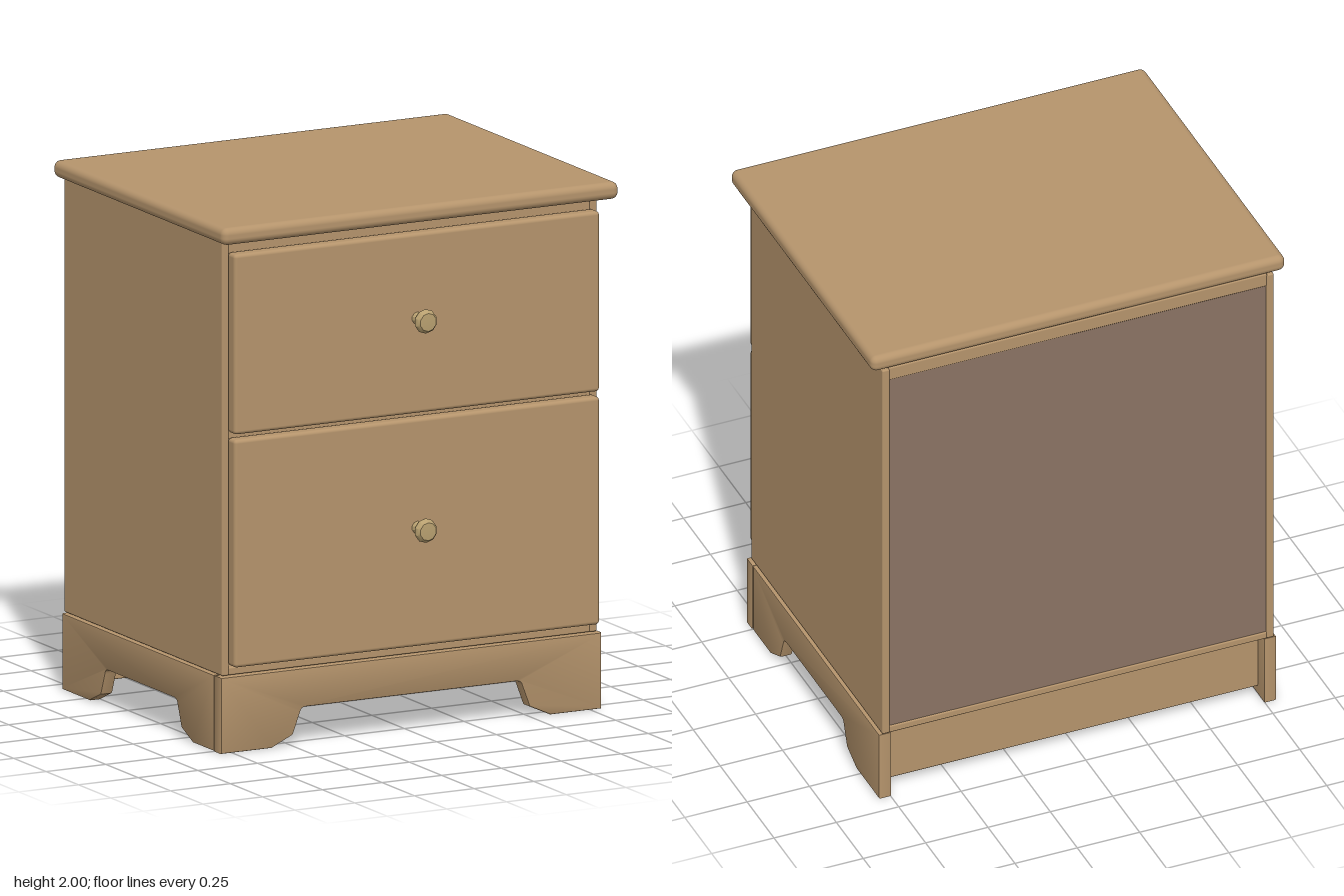
import * as THREE from 'three';
import { RoundedBoxGeometry } from 'three/addons/geometries/RoundedBoxGeometry.js';
import { toCreasedNormals } from 'three/addons/utils/BufferGeometryUtils.js';

const wood = new THREE.MeshStandardMaterial({ color: 0xb5946c });
const backing = new THREE.MeshStandardMaterial({ color: 0x8a7363 });
const knobWood = new THREE.MeshStandardMaterial({ color: 0xb8a070 });

// Board with softened edges, given by its min and max corners
function board(name, [x0, y0, z0], [x1, y1, z1], radius = 0.006, material = wood) {
  const geo = new RoundedBoxGeometry(x1 - x0, y1 - y0, z1 - z0, 3, radius);
  const mesh = new THREE.Mesh(geo, material);
  mesh.position.set((x0 + x1) / 2, (y0 + y1) / 2, (z0 + z1) / 2);
  mesh.name = name;
  return mesh;
}

// Plinth board from a to b with a bracket-foot cut-out between c and d
function plinthGeometry(a, b, c, d, thickness) {
  const bevel = 0.006, top = 0.287;
  const s = new THREE.Shape();
  s.moveTo(a + bevel, bevel);
  s.lineTo(c - 0.13, bevel);
  s.lineTo(c - 0.045, 0.045);
  s.lineTo(c - 0.015, 0.125);
  s.quadraticCurveTo(c - 0.01, 0.147, c + 0.015, 0.147);
  s.lineTo(d - 0.015, 0.147);
  s.quadraticCurveTo(d + 0.01, 0.147, d + 0.015, 0.125);
  s.lineTo(d + 0.045, 0.045);
  s.lineTo(d + 0.13, bevel);
  s.lineTo(b - bevel, bevel);
  s.lineTo(b - bevel, top - bevel);
  s.lineTo(a + bevel, top - bevel);
  s.closePath();
  const geo = new THREE.ExtrudeGeometry(s, {
    depth: thickness - 2 * bevel, bevelThickness: bevel, bevelSize: bevel,
    bevelSegments: 2, curveSegments: 5,
  });
  geo.translate(0, 0, bevel);
  return toCreasedNormals(geo, 0.6);
}

// Turned knob, facing +z
function knob(y) {
  const profile = [[0, 0], [0.026, 0], [0.017, 0.015], [0.015, 0.03], [0.022, 0.042],
    [0.043, 0.058], [0.046, 0.066], [0.042, 0.078], [0.034, 0.088], [0, 0.09]]
    .map(([r, h]) => new THREE.Vector2(r, h));
  const geo = toCreasedNormals(new THREE.LatheGeometry(profile, 10), 0.5);
  const mesh = new THREE.Mesh(geo, knobWood);
  mesh.rotation.x = Math.PI / 2;
  mesh.position.set(0, y, 0.598);
  mesh.name = 'knob';
  return mesh;
}

export function createModel() {
  const model = new THREE.Group();
  model.name = 'nightstand';

  // Table top with rounded edge
  model.add(board('top', [-0.83, 1.935, -0.69], [0.83, 2, 0.635], 0.026));

  // Carcass
  const carcass = new THREE.Group();
  carcass.name = 'carcass';
  for (const s of [-1, 1]) {
    const x = [s * 0.785, s * 0.755].sort((p, q) => p - q);
    carcass.add(board('sidePanel', [x[0], 0.29, -0.68], [x[1], 1.93, 0.54]));
  }
  carcass.add(
    board('topPanel', [-0.758, 1.88, -0.68], [0.758, 1.937, 0.538]),
    board('bottomPanel', [-0.758, 0.29, -0.68], [0.758, 0.32, 0.538]),
    board('drawerDivider', [-0.758, 1.18, -0.66], [0.758, 1.22, 0.538]),
    board('backPanel', [-0.758, 0.315, -0.675], [0.758, 1.9, -0.655], 0.001, backing),
  );
  model.add(carcass);

  // Drawers
  for (const [name, y0, y1, ky] of [['upperDrawer', 1.21, 1.89, 1.57], ['lowerDrawer', 0.33, 1.19, 0.78]]) {
    const drawer = new THREE.Group();
    drawer.name = name;
    drawer.add(board('drawerFront', [-0.765, y0, 0.542], [0.765, y1, 0.602], 0.014), knob(ky));
    model.add(drawer);
  }

  // Plinth with bracket feet
  const plinth = new THREE.Group();
  plinth.name = 'plinth';
  const front = new THREE.Mesh(plinthGeometry(-0.797, 0.797, -0.455, 0.455, 0.055), wood);
  front.position.z = 0.5;
  front.name = 'plinthFront';
  plinth.add(front);
  const sideGeo = plinthGeometry(-0.497, 0.675, -0.205, 0.335, 0.05);
  for (const x of [-0.797, 0.747]) {
    const side = new THREE.Mesh(sideGeo, wood);
    side.rotation.y = Math.PI / 2;
    side.position.x = x;
    side.name = 'plinthSide';
    plinth.add(side);
  }
  plinth.add(board('plinthBackRail', [-0.748, 0.04, -0.62], [0.748, 0.29, -0.57]));
  model.add(plinth);

  return model;
}
